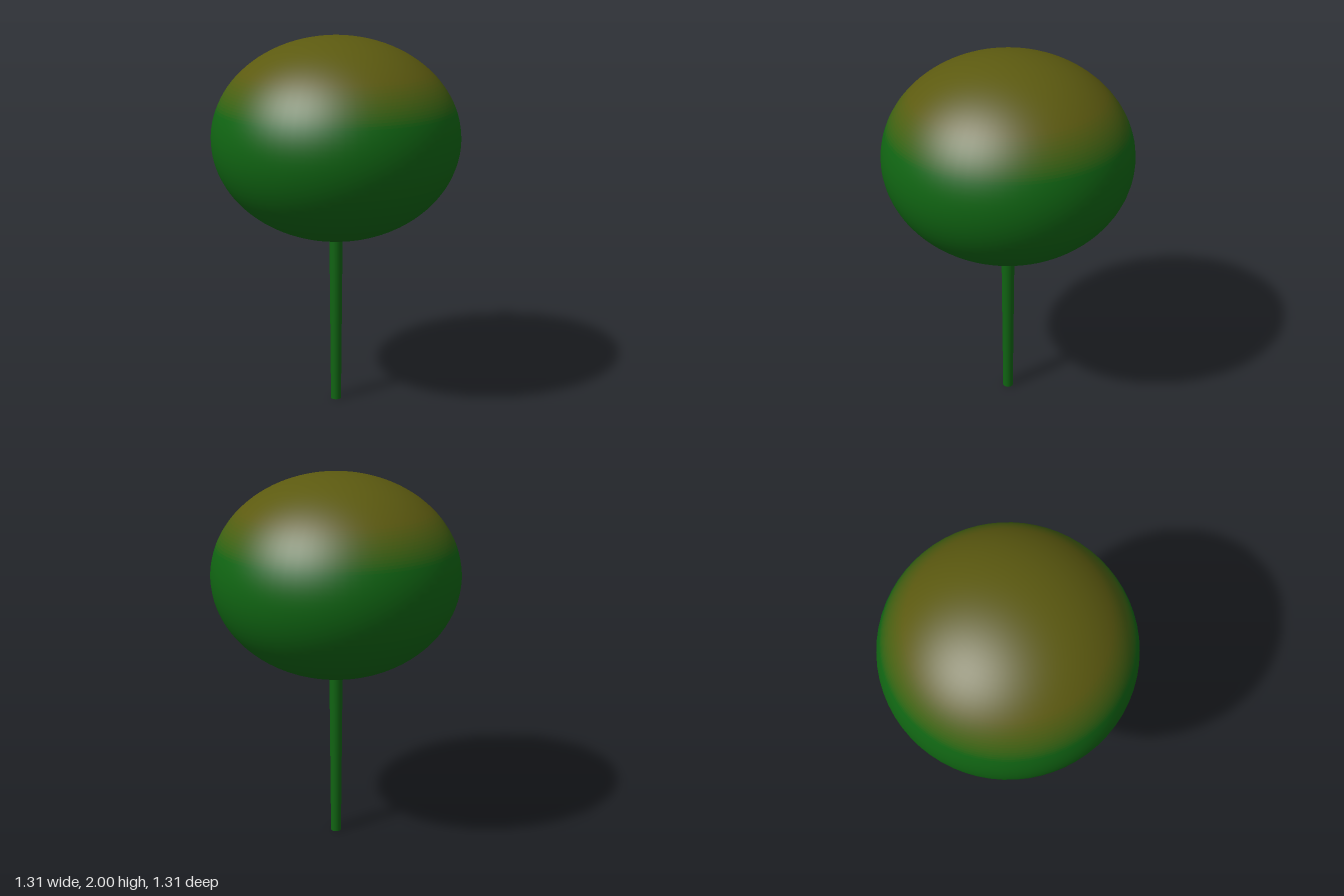
import * as THREE from 'three';

const GREEN = new THREE.Color(0x106412);
const OLIVE = new THREE.Color(0x5c5a10);
const RADIUS = 0.655, HALF_HEIGHT = 0.535, CENTRE_Y = 1.465;

// One horizontal band of the squashed ball, between two heights
function crownBand(name, yTop, yBottom, rows, color) {
  const polar = (y) => Math.acos(THREE.MathUtils.clamp((y - CENTRE_Y) / HALF_HEIGHT, -1, 1));
  const start = polar(yTop);
  const geometry = new THREE.SphereGeometry(1, 64, rows, 0, Math.PI * 2, start, polar(yBottom) - start);
  geometry.scale(RADIUS, HALF_HEIGHT, RADIUS);
  const mesh = new THREE.Mesh(geometry, new THREE.MeshStandardMaterial({ color }));
  mesh.position.y = CENTRE_Y;
  mesh.name = name;
  return mesh;
}

export function createModel() {
  const model = new THREE.Group();
  model.name = 'roundTree';

  // Crown: olive top fading through thin bands into a green body
  const crown = new THREE.Group();
  crown.name = 'crown';
  const fadeTop = 1.82, fadeBottom = 1.62, steps = 14;
  crown.add(crownBand('crownTop', CENTRE_Y + HALF_HEIGHT, fadeTop, 14, OLIVE));
  for (let i = 0; i < steps; i++) {
    const y = (k) => THREE.MathUtils.lerp(fadeTop, fadeBottom, k / steps);
    const color = OLIVE.clone().lerp(GREEN, (i + 0.5) / steps);
    crown.add(crownBand(`crownFade${i + 1}`, y(i), y(i + 1), 1, color));
  }
  crown.add(crownBand('crownBody', fadeBottom, CENTRE_Y - HALF_HEIGHT, 30, GREEN));
  model.add(crown);

  // Trunk: slim stem, slightly wider towards the crown
  const trunk = new THREE.Mesh(
    new THREE.CylinderGeometry(0.036, 0.028, 0.96, 24),
    new THREE.MeshStandardMaterial({ color: GREEN })
  );
  trunk.position.y = 0.48;
  trunk.name = 'trunk';
  model.add(trunk);

  return model;
}
